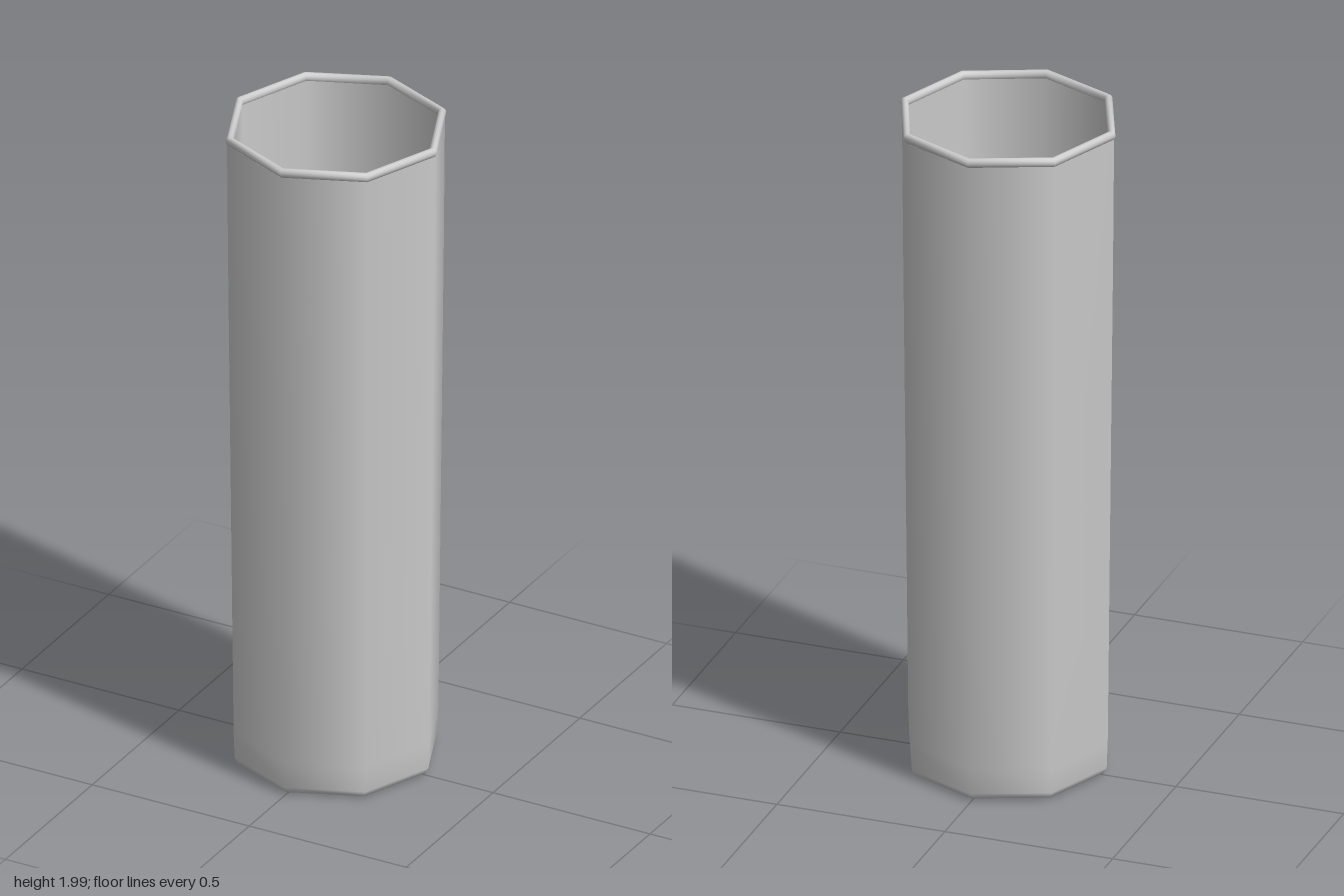
import * as THREE from 'three';

const SIDES = 8;
const material = new THREE.MeshStandardMaterial({ color: 0xcccccc });

// Eight-sided turned part from [radius, height] pairs, smooth shaded
function turned(name, profile) {
  const points = profile.map(([r, y]) => new THREE.Vector2(r, y));
  const mesh = new THREE.Mesh(new THREE.LatheGeometry(points, SIDES), material);
  mesh.name = name;
  return mesh;
}

export function createModel() {
  const cup = new THREE.Group();
  cup.name = 'cup';

  // Base disc, tapered outer wall with a softened foot
  cup.add(turned('base', [[0, 0.008], [0.27, 0.008]]));
  cup.add(turned('outerWall', [
    [0.27, 0.008], [0.285, 0.014], [0.294, 0.032], [0.297, 0.11],
    [0.301, 0.48], [0.305, 0.86], [0.309, 1.23], [0.313, 1.6], [0.316, 1.975],
  ]));

  // Rolled bead around the mouth
  const bead = [];
  for (let i = 0; i <= 12; i++) {
    const a = -Math.PI / 2 + (i / 12) * Math.PI * 2;
    bead.push([0.308 + 0.012 * Math.cos(a), 1.986 + 0.014 * Math.sin(a)]);
  }
  cup.add(turned('rim', bead));

  // Inner wall, running down to the floor
  cup.add(turned('innerWall', [
    [0.299, 1.98], [0.296, 1.6], [0.292, 1.23], [0.288, 0.86],
    [0.284, 0.48], [0.28, 0.11], [0.278, 0.045], [0.27, 0.03],
  ]));
  cup.add(turned('floor', [[0.27, 0.03], [0, 0.03]]));

  return cup;
}
